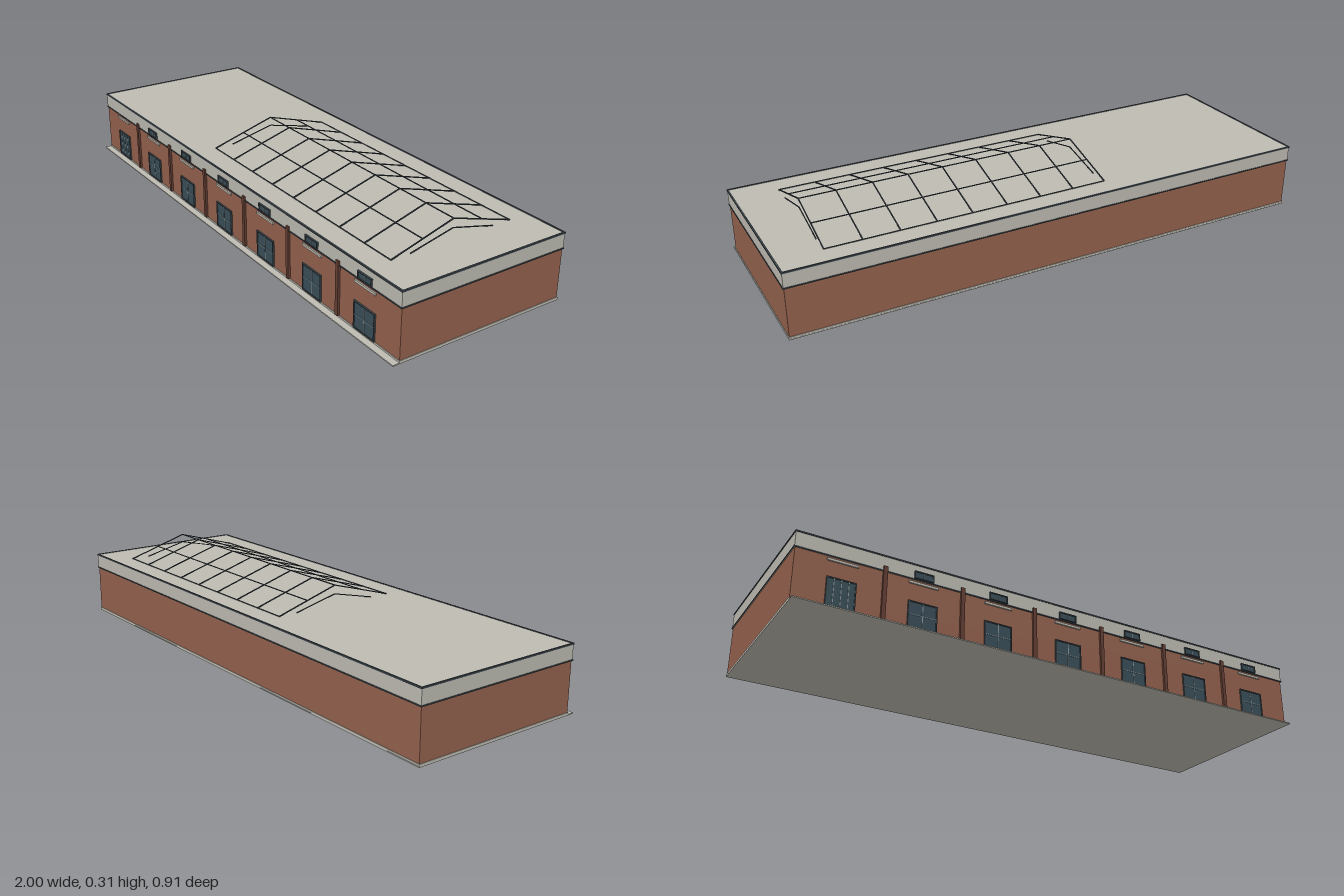
import * as THREE from 'three';

const mat = (name, color) => {
  const m = new THREE.MeshStandardMaterial({ color });
  m.name = name;
  return m;
};

export function createModel() {
  const brick = mat('brick', 0x94624e);
  const concrete = mat('concrete', 0xbdbbb2);
  const pier = mat('dark brick', 0x643f33);
  const steel = mat('dark steel', 0x3c454b);
  const glass = mat('glass', 0x3a4e58);
  const bars = mat('glazing bars', 0x84969c);

  const model = new THREE.Group();
  model.name = 'warehouse';
  const hall = new THREE.Group();
  hall.name = 'hall';
  hall.rotation.y = -0.136;
  hall.position.z = -0.0105;
  model.add(hall);

  // Box given by its size and centre
  const box = (name, material, w, h, d, x, y, z, parent = hall) => {
    const m = new THREE.Mesh(new THREE.BoxGeometry(w, h, d), material);
    m.name = name;
    m.position.set(x, y, z);
    parent.add(m);
    return m;
  };

  const HX = 0.96, HZ = 0.3115;

  // Ground slab with the pavement along the front, then the plinth
  box('groundSlab', concrete, 2 * HX + 0.004, 0.004, 0.651, 0, 0.002, 0.0115);
  box('plinth', concrete, 2 * HX + 0.004, 0.006, 2 * HZ + 0.004, 0, 0.007, 0);

  // Walls, fascia band and flat roof
  box('walls', brick, 2 * HX, 0.17, 2 * HZ, 0, 0.095, 0);
  box('fasciaAndRoof', concrete, 2 * HX + 0.004, 0.055, 2 * HZ + 0.004, 0, 0.2065, 0);

  // Thin dark trim around the top and bottom of the fascia
  for (const [name, y, h] of [['roofTrim', 0.2335, 0.005], ['fasciaTrim', 0.181, 0.004]]) {
    for (const s of [-1, 1]) {
      box(name, steel, 2 * HX + 0.008, h, 0.006, 0, y, s * (HZ + 0.001));
      box(name, steel, 0.006, h, 2 * HZ + 0.008, s * (HX + 0.001), y, 0);
    }
  }

  // Front bays: window or door, lintel, upper window and piers between
  const pitch = 0.2678, firstBay = -0.809;
  const glazing = (name, w, h, x, y, z, columns, rows) => {
    const g = new THREE.Group();
    g.name = name;
    g.position.set(x, y, z);
    hall.add(g);
    box('glass', glass, w, h, 0.004, 0, 0, 0, g);
    for (const s of [-1, 1]) {
      box('frameSide', steel, 0.004, h, 0.009, s * (w / 2 - 0.002), 0, 0, g);
      box('frameRail', steel, w, 0.004, 0.009, 0, s * (h / 2 - 0.002), 0, g);
    }
    for (let i = 1; i < columns; i++) {
      box('mullion', bars, 0.0025, h - 0.008, 0.007, (i / columns - 0.5) * w, 0, 0, g);
    }
    for (let i = 1; i < rows; i++) {
      box('transom', bars, w - 0.008, 0.0025, 0.0068, 0, (i / rows - 0.5) * h, 0, g);
    }
  };

  for (let i = 0; i < 7; i++) {
    const x = firstBay + i * pitch;
    if (i === 0) glazing('door', 0.095, 0.1, x, 0.06, HZ + 0.001, 4, 1);
    else {
      glazing('window', 0.1, 0.093, x, 0.0565, HZ + 0.001, 2, 2);
      glazing('upperWindow', 0.066, 0.026, x, 0.197, HZ + 0.003, 2, 1);
    }
    box('lintel', concrete, 0.1, 0.008, 0.006, x, 0.168, HZ + 0.002);
    if (i < 6) box('pier', pier, 0.014, 0.186, 0.012, x + pitch / 2 + 0.003, 0.103, HZ + 0.002);
  }

  // Open gabled skylight frame on the roof
  const skylight = new THREE.Group();
  skylight.name = 'skylightFrame';
  skylight.position.set(0.303, 0.235, -0.002);
  hall.add(skylight);

  const beam = (name, a, b, t) => {
    const from = new THREE.Vector3(...a), to = new THREE.Vector3(...b);
    const m = box(name, steel, t, t, from.distanceTo(to), 0, 0, 0, skylight);
    m.position.copy(from).add(to).multiplyScalar(0.5);
    const dir = to.sub(from).normalize();
    m.quaternion.setFromUnitVectors(new THREE.Vector3(0, 0, 1), dir);
  };

  const L = 0.504, W = 0.233, H = 0.069;
  for (let i = 0; i <= 8; i++) {
    const x = -L + (i / 8) * 2 * L;
    for (const s of [-1, 1]) {
      beam('rafter', [x, 0, s * W], [x, H, 0], 0.0035);
      // Smaller inner gable at both ends
      if (i % 8 === 0) beam('endBrace', [x, 0, s * 0.162], [x, 0.038, 0], 0.003);
    }
  }
  for (const k of [-1, -0.5, 0, 0.5, 1]) {
    const y = H * (1 - Math.abs(k));
    beam('purlin', [-L, y, k * W], [L, y, k * W], 0.003);
  }

  return model;
}
